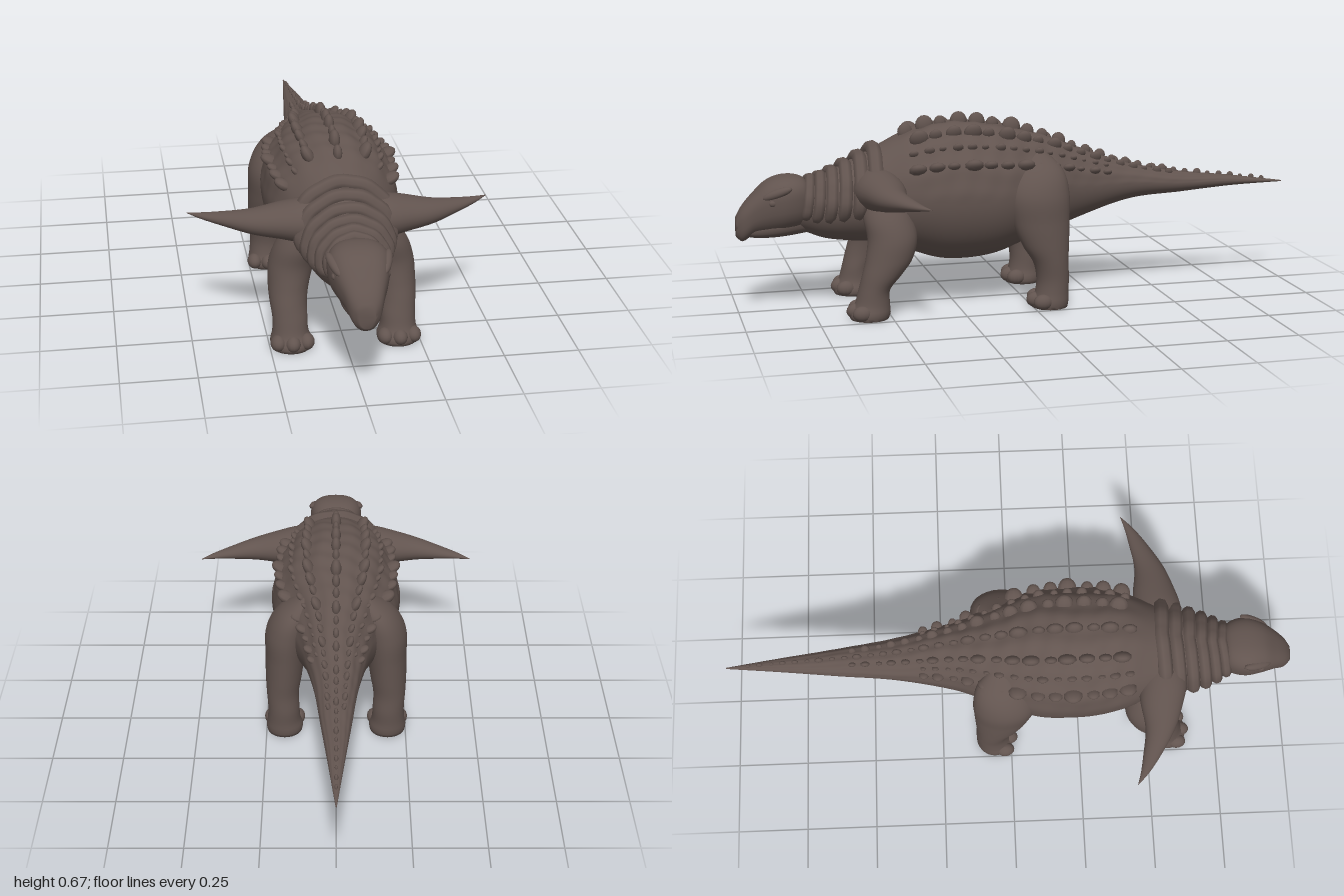
import * as THREE from 'three';
import { mergeGeometries } from 'three/addons/utils/BufferGeometryUtils.js';

// Smoothly interpolate rows of numbers keyed by their first column
function sample(rows, k) {
  let i = 0;
  while (i < rows.length - 2 && k > rows[i + 1][0]) i++;
  const a = rows[i], b = rows[i + 1], p = rows[i - 1] || a, n = rows[i + 2] || b;
  const h = b[0] - a[0], u = (k - a[0]) / h, u2 = u * u, u3 = u2 * u;
  return a.map((v, c) => {
    const m0 = (b[c] - p[c]) / (b[0] - p[0]), m1 = (n[c] - v) / (n[0] - a[0]);
    return (2 * u3 - 3 * u2 + 1) * v + (u3 - 2 * u2 + u) * h * m0
      + (3 * u2 - 2 * u3) * b[c] + (u3 - u2) * h * m1;
  });
}

// Skin closed rings between the first and last key; point(row, angle) gives [x, y, z]
function loft(rows, rings, sides, point) {
  const pos = [], idx = [], k0 = rows[0][0], k1 = rows[rows.length - 1][0];
  for (let i = 0; i <= rings; i++) {
    const row = sample(rows, k0 + (k1 - k0) * i / rings);
    for (let j = 0; j < sides; j++) pos.push(...point(row, j / sides * Math.PI * 2));
  }
  for (let i = 0; i < rings; i++) for (let j = 0; j < sides; j++) {
    const a = i * sides + j, b = i * sides + (j + 1) % sides;
    idx.push(a, b, a + sides, b, b + sides, a + sides);
  }
  const last = rings * sides;
  for (let j = 1; j < sides - 1; j++) {
    idx.push(0, j + 1, j, last, last + j, last + j + 1);
  }
  const g = new THREE.BufferGeometry();
  g.setAttribute('position', new THREE.Float32BufferAttribute(pos, 3));
  g.setIndex(idx);
  g.computeVertexNormals();
  return g;
}

function mirrored(geo) {
  const g = geo.clone().scale(-1, 1, 1), ix = g.index.array;
  for (let i = 0; i < ix.length; i += 3) [ix[i], ix[i + 1]] = [ix[i + 1], ix[i]];
  g.computeVertexNormals();
  return g;
}

function ellipsoid(x, y, z, rx, ry, rz) {
  return new THREE.SphereGeometry(1, 16, 10).scale(rx, ry, rz).translate(x, y, z);
}

// Torso, tail and neck: z, bottom, top, half width
const BODY = [
  [-1, .362, .366, .002], [-.8, .358, .395, .026], [-.6, .345, .42, .05], [-.4, .33, .46, .075],
  [-.2, .27, .53, .115], [-.1, .23, .57, .15], [0, .2, .6, .19], [.1, .165, .625, .22],
  [.2, .152, .637, .226], [.3, .158, .634, .222], [.4, .19, .61, .203], [.5, .225, .565, .165],
  [.6, .235, .515, .145], [.7, .25, .47, .115], [.78, .28, .45, .075], [.85, .3, .43, .06],
];
function bodyPoint([z, b, t, w], a, s = 1) {
  return [Math.cos(a) * w * s, (b + t) / 2 + Math.sin(a) * (t - b) / 2 * s, z];
}
// Lengthwise folds in the hide of the back
function foldedHide(row, a) {
  const up = Math.max(0, Math.sin(a)), back = THREE.MathUtils.smoothstep(.5 - row[0], 0, .15);
  const fold = Math.cos(14 * a + .8 * Math.sin(row[0] * 19)) + .5 * Math.sin(row[0] * 80 + 5 * a);
  return bodyPoint(row, a, 1 + .017 * Math.sqrt(up) * back * fold);
}

// Rows of blunt scutes along the back
function scutes() {
  const list = [], up = new THREE.Vector3(0, 1, 0);
  const rows = [[90, -.92, .46, 1], [63, -.55, .44, 1], [46, -.3, .42, .6], [29, -.3, .42, 1]];
  for (const [deg, z0, z1, size] of rows) for (const side of deg === 90 ? [1] : [1, -1]) {
    let n = 0;
    for (let z = z0; z < z1; n++) {
      const row = sample(BODY, z), a = THREE.MathUtils.degToRad(deg);
      const s = size * (.3 + .7 * Math.min(1, row[3] / .2)) * (.9 + .2 * Math.sin(n * 2.3));
      const [x, y] = bodyPoint(row, a, .995);
      const normal = new THREE.Vector3(side * Math.cos(a) / row[3], Math.sin(a) / ((row[2] - row[1]) / 2), 0).normalize();
      const g = new THREE.SphereGeometry(1, 10, 8).scale(.018 * s, .034 * s, .031 * s);
      g.applyQuaternion(new THREE.Quaternion().setFromUnitVectors(up, normal));
      list.push(g.translate(side * x, y, z));
      z += .066 * (.45 + .55 * s);
    }
  }
  return mergeGeometries(list);
}

// Overlapping armour bands over the neck
function neckBands() {
  return mergeGeometries([.535, .585, .635, .68, .72, .755].map((z, n) => {
    const pts = [];
    for (let i = 0; i <= 24; i++) {
      const t = i / 12 - 1, a = Math.PI / 2 - t * 1.95;
      const s = 1.02 + .012 * Math.cos(i * 1.7 + n) - .3 * t ** 8;
      const [x, y] = bodyPoint(sample(BODY, z), a, s);
      pts.push(new THREE.Vector3(x, y, z + .025 * (Math.abs(t) - .5)));
    }
    return new THREE.TubeGeometry(new THREE.CatmullRomCurve3(pts), 48, .027 - n * .0018, 8);
  }));
}

// Head sections are broader towards the crown
function headPoint([z, b, t, w], a) {
  const c = Math.cos(a), s = Math.sin(a), box = v => Math.sign(v) * Math.abs(v) ** .8;
  return [box(c) * w * (1 + .15 * s), (b + t) / 2 + box(s) * (t - b) / 2, z];
}

// Legs: y, centre x, centre z, radius x, radius z
const FRONT_LEG = [
  [0, .178, .575, .066, .066], [.02, .178, .573, .07, .07], [.05, .18, .565, .06, .06],
  [.1, .18, .557, .058, .054], [.15, .182, .53, .062, .068], [.2, .178, .505, .068, .08],
  [.27, .165, .49, .076, .085], [.34, .14, .5, .076, .085], [.43, .1, .51, .055, .07],
];
const HIND_LEG = [
  [0, .185, -.06, .062, .062], [.02, .185, -.06, .066, .066], [.05, .187, -.066, .059, .059],
  [.1, .187, -.07, .056, .057], [.16, .19, -.062, .057, .062], [.22, .186, -.045, .064, .082],
  [.3, .18, -.03, .07, .1], [.4, .17, -.022, .076, .11], [.48, .145, -.03, .058, .085], [.54, .1, -.03, .02, .03],
];
const legPoint = ([y, cx, cz, rx, rz], a) => [cx + Math.cos(a) * rx, y, cz - Math.sin(a) * rz];

// Shoulder spike: x, centre y, centre z, radius y, radius z
const SPIKE = [
  [.1, .43, .53, .075, .085], [.15, .43, .528, .07, .083], [.2, .43, .522, .06, .076],
  [.3, .427, .51, .04, .052], [.4, .428, .473, .02, .03], [.46, .429, .445, .009, .014], [.5, .43, .42, .001, .001],
];
const spikePoint = ([x, cy, cz, ry, rz], a) => [x, cy + Math.cos(a) * ry, cz + Math.sin(a) * rz];

export function createModel() {
  const model = new THREE.Group();
  const hide = new THREE.MeshStandardMaterial({ color: 0x62544f });
  hide.name = 'brown hide';
  const add = (name, geo) => {
    const mesh = new THREE.Mesh(geo, hide);
    mesh.name = name;
    model.add(mesh);
  };
  const addPair = (name, geo) => {
    add('left' + name, geo);
    add('right' + name, mirrored(geo));
  };

  add('body', loft(BODY, 160, 96, foldedHide));
  add('backScutes', scutes());
  add('neckBands', neckBands());

  // Head with drooping beak
  add('skull', loft([
    [.74, .33, .43, .04], [.77, .3, .465, .08], [.83, .285, .475, .098], [.89, .28, .458, .085],
    [.94, .275, .415, .065], [.98, .252, .37, .046], [1, .268, .335, .026],
  ], 36, 40, headPoint));
  add('lowerJaw', loft([
    [.74, .275, .35, .045], [.85, .263, .33, .062], [.93, .262, .31, .046], [.975, .27, .3, .028],
  ], 20, 32, headPoint));
  addPair('Brow', ellipsoid(0, 0, 0, .017, .016, .055).rotateX(.35).rotateY(-.3).translate(.082, .425, .865));
  addPair('Eye', ellipsoid(.083, .393, .88, .01, .012, .014));

  addPair('ShoulderSpike', loft(SPIKE, 36, 28, spikePoint));
  addPair('FrontLeg', loft(FRONT_LEG, 40, 28, legPoint));
  addPair('HindLeg', loft(HIND_LEG, 48, 28, legPoint));

  // Three blunt toes on each foot
  const toes = (cx, cz, reach) => mergeGeometries([-1, 0, 1].map(i =>
    ellipsoid(cx + i * .047, .027, cz + reach - Math.abs(i) * .014, .026, .027, .034)));
  addPair('FrontToes', toes(.178, .575, .045));
  addPair('HindToes', toes(.185, -.06, .05));

  return model;
}
